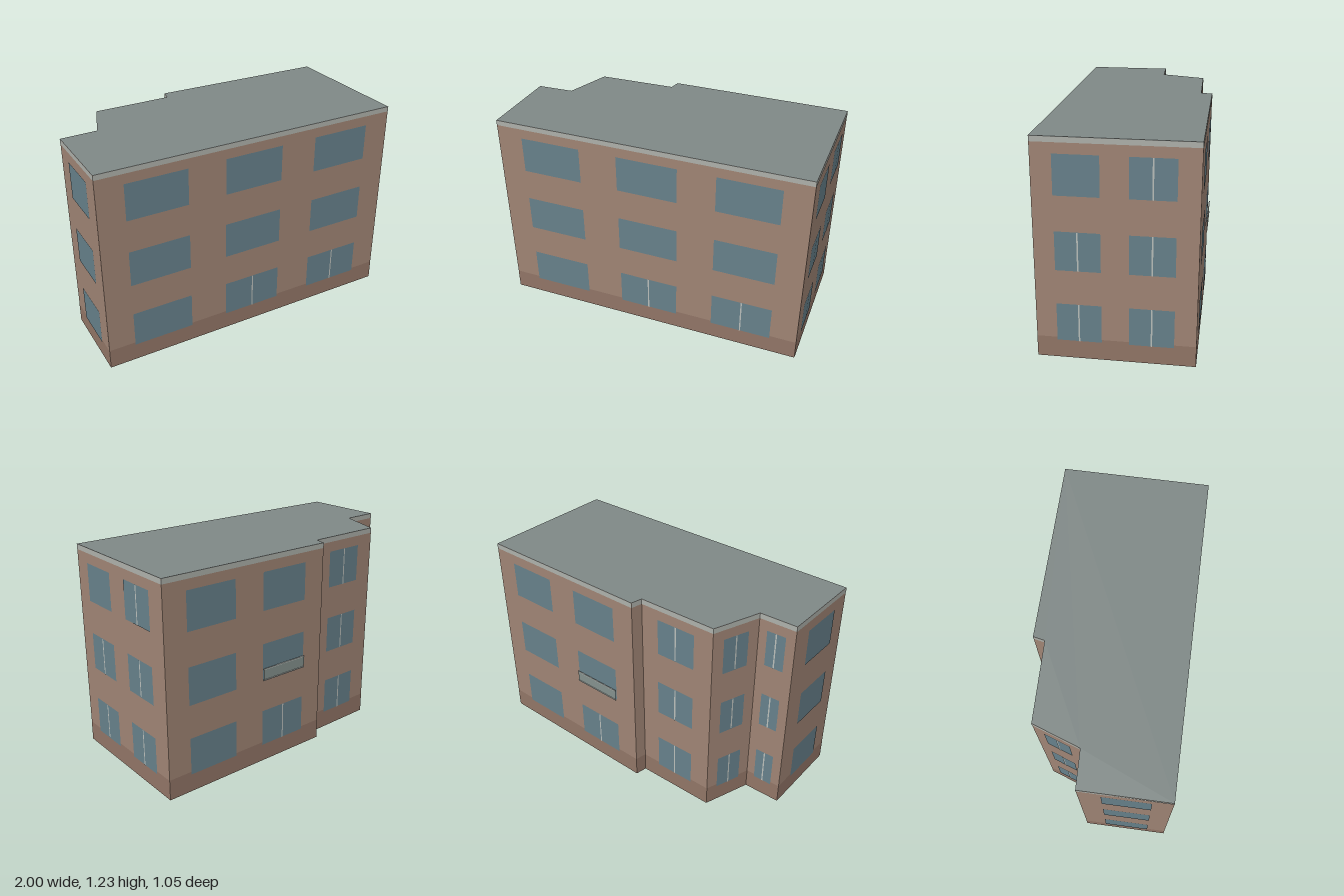
import * as THREE from 'three';

const HEIGHT = 1.23, CORNICE = 1.2, BASE = 0.12;
const FLOORS = [[0.105, 0.322], [0.515, 0.732], [0.925, 1.143]];

const mat = (color, side = THREE.FrontSide) => new THREE.MeshStandardMaterial({ color, side });
const brick = mat(0x9f8474, THREE.DoubleSide);
const plinth = mat(0x917566);
const trim = mat(0xadb0aa);
const glass = mat(0x66808a);
const frame = mat(0xb9beba);
const roofing = mat(0x7f8886, THREE.DoubleSide);
const railGlass = mat(0x84918d, THREE.DoubleSide);

// Footprint corners [x, z], anticlockwise seen from above, starting front left of the drawing.
// Each wall runs to the next corner: windows as [start, end] fractions of its length,
// mullions as one string per floor ('1' = window has a central mullion).
const WALLS = [
  { at: [-1.0, 0.185], windows: [[0.084, 0.28], [0.403, 0.598], [0.718, 0.914]], mullions: ['011', '000', '000'] },
  { at: [0.838, 0.525], windows: [[0.131, 0.412], [0.583, 0.863]], mullions: ['11', '11', '01'] },
  { at: [0.997, -0.312], windows: [[0.128, 0.415], [0.59, 0.872]], mullions: ['01', '00', '00'], railing: [1, 1] },
  { at: [-0.062, -0.514], windows: [], mullions: [] },
  { at: [-0.088, -0.451], windows: [[0.236, 0.75]], mullions: ['1', '1', '1'] },
  { at: [-0.547, -0.528], windows: [[0.23, 0.77]], mullions: ['1', '1', '1'] },
  { at: [-0.692, -0.279], windows: [[0.235, 0.75]], mullions: ['1', '1', '1'] },
  { at: [-0.906, -0.311], windows: [[0.25, 0.78]], mullions: ['0', '0', '0'] },
];

// Flat upright panel in a wall's own frame: x along the wall, z outward
function panel(name, x0, x1, y0, y1, z, material) {
  const mesh = new THREE.Mesh(new THREE.PlaneGeometry(x1 - x0, y1 - y0), material);
  mesh.position.set((x0 + x1) / 2, (y0 + y1) / 2, z);
  mesh.name = name;
  return mesh;
}

// Low glass guard with a slim rail along its top and bottom
function makeRailing(x0, x1, y0) {
  const railing = new THREE.Group();
  railing.name = 'windowRailing';
  railing.add(panel('railingGlass', x0, x1, y0, y0 + 0.07, 0.012, railGlass));
  for (const y of [y0 + 0.003, y0 + 0.069]) {
    const rail = new THREE.Mesh(new THREE.BoxGeometry(x1 - x0, 0.006, 0.006), frame);
    rail.position.set((x0 + x1) / 2, y, 0.012);
    rail.name = 'rail';
    railing.add(rail);
  }
  return railing;
}

function makeWall({ at, windows, mullions, railing }, next) {
  const dx = next[0] - at[0], dz = next[1] - at[1];
  const length = Math.hypot(dx, dz);
  const wall = new THREE.Group();
  wall.name = 'wall';
  wall.position.set(at[0], 0, at[1]);
  wall.rotation.y = Math.atan2(-dz, dx);

  wall.add(
    panel('brickwork', 0, length, 0, HEIGHT, 0, brick),
    panel('baseBand', 0, length, 0, BASE, 0.001, plinth),
    panel('cornice', 0, length, CORNICE, HEIGHT, 0.001, trim),
  );

  FLOORS.forEach(([y0, y1], floor) => windows.forEach(([a, b], i) => {
    const x0 = a * length, x1 = b * length, mid = (x0 + x1) / 2;
    wall.add(panel('window', x0, x1, y0, y1, 0.003, glass));
    if (mullions[floor][i] === '1') {
      wall.add(panel('mullion', mid - 0.004, mid + 0.004, y0, y1, 0.005, frame));
    }
    if (railing && railing[0] === floor && railing[1] === i) {
      wall.add(makeRailing(x0, x1, y0));
    }
  }));
  return wall;
}

export function createModel() {
  const model = new THREE.Group();
  model.name = 'apartmentBlock';

  // Walls, open underneath
  WALLS.forEach((wall, i) => model.add(makeWall(wall, WALLS[(i + 1) % WALLS.length].at)));

  // Flat roof over the footprint
  const outline = new THREE.Shape(WALLS.map(({ at }) => new THREE.Vector2(at[0], -at[1])));
  const roof = new THREE.Mesh(new THREE.ShapeGeometry(outline).rotateX(-Math.PI / 2), roofing);
  roof.position.y = HEIGHT;
  roof.name = 'roof';
  model.add(roof);

  return model;
}
